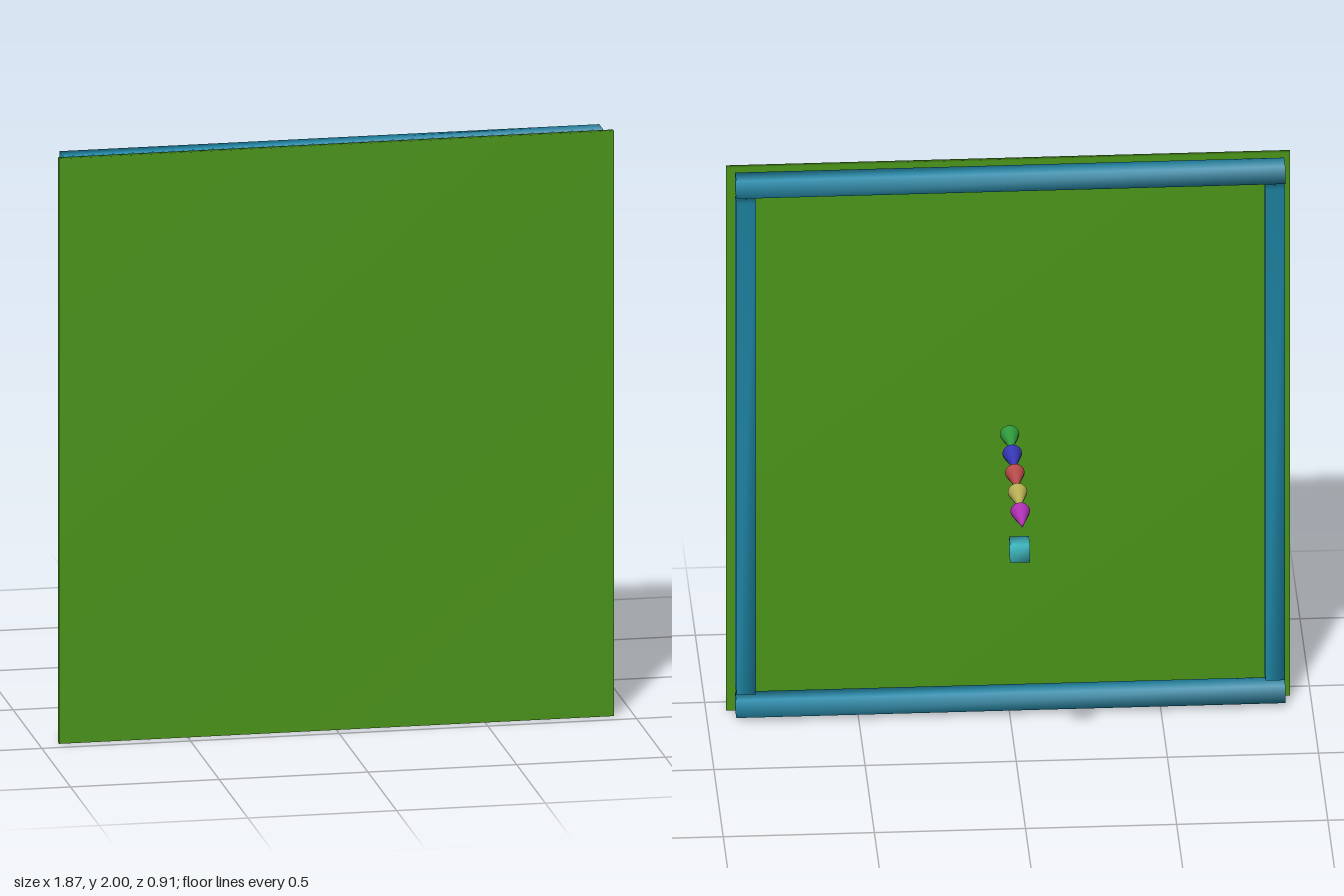
import * as THREE from 'three';
import { mergeVertices } from 'three/addons/utils/BufferGeometryUtils.js';

// Box with shared corners, so its shading is smooth across the edges
function softBox(w, h, d) {
  const box = new THREE.BoxGeometry(w, h, d);
  box.deleteAttribute('normal');
  box.deleteAttribute('uv');
  const geometry = mergeVertices(box);
  geometry.computeVertexNormals();
  return geometry;
}

export function createModel() {
  const model = new THREE.Group();

  function add(name, geometry, color, x, y, z) {
    const mesh = new THREE.Mesh(geometry, new THREE.MeshStandardMaterial({ color }));
    mesh.name = name;
    mesh.position.set(x, y, z);
    model.add(mesh);
    return mesh;
  }

  // Thin front panel
  add('panel', softBox(1.866, 2, 0.02), 0x4a9418, 0, 1, 0.444);

  // Frame behind the panel: two rails and two posts with small gaps between
  const bar = 0.065, barZ = 0.375, blue = 0x1f88a8;
  add('topRail', softBox(1.816, bar, bar), blue, -0.003, 1.963, barZ);
  add('bottomRail', softBox(1.816, bar, bar), blue, -0.003, 0.05, barZ);
  add('leftPost', softBox(bar, 1.808, bar), blue, 0.872, 1.006, barZ);
  add('rightPost', softBox(bar, 1.808, bar), blue, -0.878, 1.006, barZ);

  // Row of cones pointing to the back
  const cone = new THREE.ConeGeometry(0.0325, 0.122, 16).rotateX(-Math.PI / 2);
  const colors = [0x2f9a3c, 0x3636b4, 0xb84a4a, 0xb8b054, 0xb030b4];
  colors.forEach((color, i) => add('cone' + (i + 1), cone, color, -0.003, 1.003, 0.349 - i * 0.1435));

  // Small block at the end of the row
  add('block', softBox(bar, bar, bar), 0x40bcc4, 0.015, 0.99, -0.421);

  return model;
}
